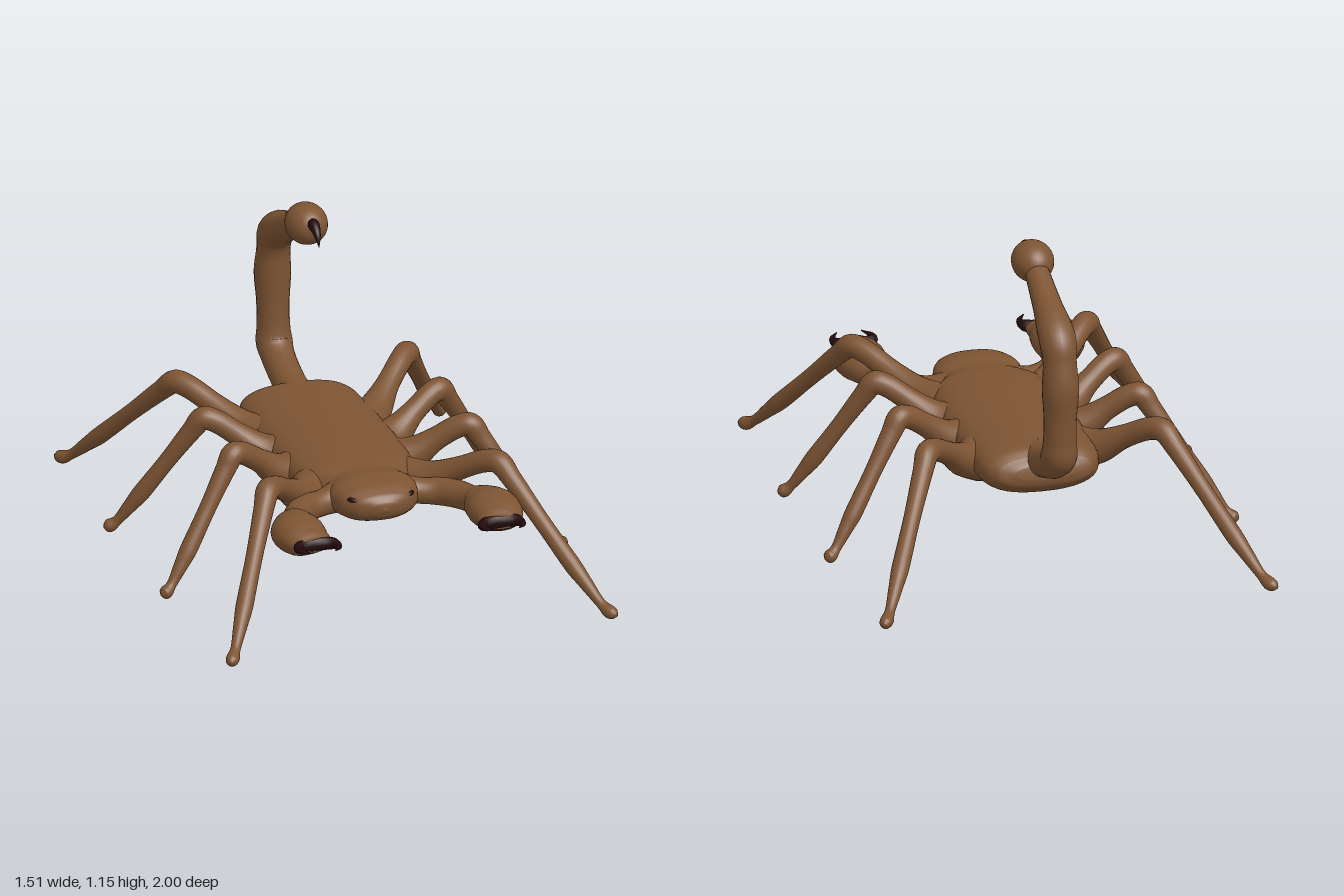
import * as THREE from 'three';

const V = (x, y, z) => new THREE.Vector3(x, y, z);
const shell = new THREE.MeshStandardMaterial({ name: 'brown shell', color: 0x7d5433 });
const dark = new THREE.MeshStandardMaterial({ name: 'dark claw', color: 0x220b0c });

// Smooth loft through rows of [x, y, z, radius across, radius up].
// fixedSide keeps the "across" direction constant for paths that turn vertical.
function loft(rows, { steps = 6, sides = 20, power = 2, fixedSide = null } = {}) {
  const path = new THREE.CatmullRomCurve3(rows.map(r => V(r[0], r[1], r[2])));
  const size = new THREE.CatmullRomCurve3(
    rows.map(r => V(r[3], r[4] ?? r[3], 0)), false, 'catmullrom', 0.4);
  const n = (rows.length - 1) * steps, pos = [], idx = [];
  const round = v => Math.sign(v) * Math.abs(v) ** (2 / power);
  for (let i = 0; i <= n; i++) {
    const p = path.getPoint(i / n), r = size.getPoint(i / n), t = path.getTangent(i / n);
    const side = fixedSide ?? V(0, 1, 0).cross(t).normalize();
    const up = t.clone().cross(side).normalize();
    for (let j = 0; j < sides; j++) {
      const a = j / sides * Math.PI * 2;
      const q = p.clone()
        .addScaledVector(side, round(Math.cos(a)) * Math.max(r.x, 0.001))
        .addScaledVector(up, round(Math.sin(a)) * Math.max(r.y, 0.001));
      pos.push(q.x, q.y, q.z);
      if (i < n) {
        const k = (j + 1) % sides, A = i * sides, B = A + sides;
        idx.push(A + j, A + k, B + j, A + k, B + k, B + j);
      }
    }
  }
  // End caps
  const c = (n + 1) * sides, last = n * sides;
  pos.push(...path.getPoint(0).toArray(), ...path.getPoint(1).toArray());
  for (let j = 0; j < sides; j++) {
    const k = (j + 1) % sides;
    idx.push(c, k, j, c + 1, last + j, last + k);
  }
  const g = new THREE.BufferGeometry();
  g.setAttribute('position', new THREE.Float32BufferAttribute(pos, 3));
  g.setIndex(idx);
  g.computeVertexNormals();
  return g;
}

export function createModel() {
  const model = new THREE.Group();
  model.name = 'scorpion';
  const add = (name, geometry, material = shell) => {
    const m = new THREE.Mesh(geometry, material);
    m.name = name;
    model.add(m);
    return m;
  };

  // Flattened body running into the head: [z, centre y, half width, half height]
  const body = [
    [-0.525, 0.345, 0.10, 0.025], [-0.51, 0.342, 0.17, 0.056], [-0.47, 0.338, 0.205, 0.084],
    [-0.41, 0.337, 0.22, 0.093], [-0.2, 0.336, 0.23, 0.096], [0.1, 0.336, 0.23, 0.096],
    [0.26, 0.336, 0.21, 0.092], [0.33, 0.338, 0.165, 0.083], [0.365, 0.342, 0.148, 0.077],
    [0.42, 0.345, 0.16, 0.08], [0.49, 0.345, 0.143, 0.07], [0.54, 0.343, 0.10, 0.05],
    [0.562, 0.341, 0.05, 0.028], [0.57, 0.34, 0.005, 0.003],
  ].map(([z, y, w, h]) => [0, y, z, w, h]);
  add('bodyAndHead', loft(body, { sides: 40, power: 2.4 }));

  // Tail curling up and forward, with swollen joints
  const fixedSide = V(1, 0, 0);
  add('tail', loft([
    [0, 0.36, -0.42, 0.07], [0, 0.39, -0.53, 0.06], [0, 0.44, -0.66, 0.06],
    [0, 0.48, -0.705, 0.065], [0, 0.54, -0.715, 0.059], [0, 0.63, -0.72, 0.059],
    [0, 0.74, -0.725, 0.066], [0, 0.83, -0.715, 0.06], [0, 0.895, -0.695, 0.065],
    [0, 0.935, -0.645, 0.064], [0, 0.985, -0.54, 0.052], [0, 1.04, -0.43, 0.045],
    [0, 1.07, -0.37, 0.04],
  ], { fixedSide }));
  const bulb = add('tailBulb', new THREE.SphereGeometry(1, 32, 24));
  bulb.position.set(0, 1.075, -0.34);
  bulb.scale.set(0.075, 0.074, 0.09);
  add('stinger', loft([
    [0, 1.1, -0.275, 0.02], [0, 1.1, -0.25, 0.02], [0, 1.08, -0.215, 0.013],
    [0, 1.04, -0.192, 0.001],
  ], { fixedSide }), dark);

  // Legs as hip, knee and foot in x and z
  const legs = [
    ['frontLeg', [0.17, 0.25], [0.42, 0.525], [0.70, 0.975]],
    ['midFrontLeg', [0.17, 0.07], [0.43, 0.175], [0.735, 0.32]],
    ['midBackLeg', [0.17, -0.07], [0.43, -0.16], [0.735, -0.325]],
    ['backLeg', [0.17, -0.24], [0.42, -0.5], [0.70, -0.975]],
  ];
  for (const s of [1, -1]) {
    const label = s > 0 ? 'left ' : 'right ';
    for (const [name, hip, knee, foot] of legs) {
      const at = (a, b, t, y, r) =>
        [s * (a[0] + (b[0] - a[0]) * t), y, a[1] + (b[1] - a[1]) * t, r];
      add(label + name, loft([
        at(hip, knee, 0, 0.31, 0.085), at(hip, knee, 0.3, 0.34, 0.062),
        at(hip, knee, 0.6, 0.4, 0.042), at(hip, knee, 0.9, 0.452, 0.041),
        at(knee, foot, 0.03, 0.457, 0.042), at(knee, foot, 0.14, 0.41, 0.036),
        at(knee, foot, 0.4, 0.285, 0.03), at(knee, foot, 0.67, 0.155, 0.031),
        at(knee, foot, 0.78, 0.105, 0.025), at(knee, foot, 0.91, 0.047, 0.018),
        at(knee, foot, 0.98, 0.026, 0.024), at(knee, foot, 1.02, 0.022, 0.021),
        at(knee, foot, 1.05, 0.02, 0.008),
      ]));
    }

    // Pincer arm swelling into the hand
    add(label + 'pincerArm', loft([
      [s * 0.1, 0.335, 0.37, 0.06], [s * 0.18, 0.325, 0.395, 0.047],
      [s * 0.25, 0.325, 0.425, 0.05], [s * 0.295, 0.33, 0.48, 0.05],
      [s * 0.325, 0.335, 0.55, 0.045, 0.05], [s * 0.345, 0.34, 0.6, 0.077, 0.062],
      [s * 0.36, 0.345, 0.67, 0.095, 0.071], [s * 0.358, 0.348, 0.74, 0.09, 0.062],
      [s * 0.345, 0.35, 0.79, 0.075, 0.042], [s * 0.34, 0.35, 0.815, 0.068, 0.028],
    ], { sides: 24 }));

    // Both claw fingers form one curved fork
    add(label + 'claws', loft([
      [s * 0.295, 0.36, 0.905, 0.002], [s * 0.268, 0.355, 0.86, 0.011],
      [s * 0.28, 0.352, 0.82, 0.02, 0.022], [s * 0.34, 0.35, 0.81, 0.014, 0.024],
      [s * 0.4, 0.352, 0.82, 0.02, 0.022], [s * 0.412, 0.355, 0.86, 0.011],
      [s * 0.385, 0.36, 0.905, 0.002],
    ], { sides: 12 }), dark);

    // Eyes set into the front of the head
    const eye = add(label + 'eye', new THREE.SphereGeometry(1, 16, 12), dark);
    eye.position.set(s * 0.108, 0.372, 0.512);
    eye.scale.set(0.024, 0.01, 0.012);
    eye.rotation.y = s * 0.9;
  }
  return model;
}
